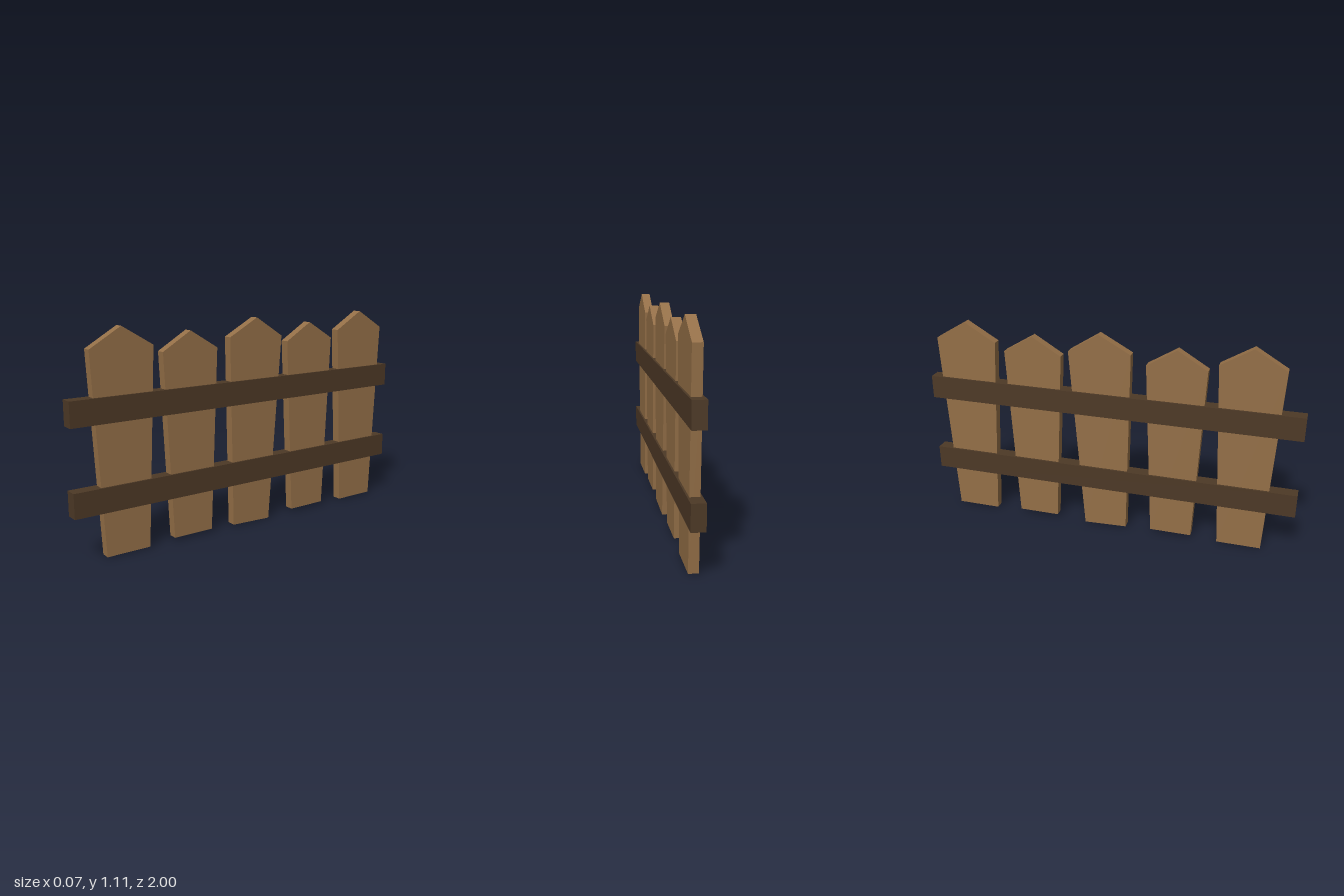
import * as THREE from 'three';

const plankWood = new THREE.MeshStandardMaterial({ color: 0x946f47, flatShading: true });
const railWood = new THREE.MeshStandardMaterial({ color: 0x4d3926, flatShading: true });

// Pointed board drawn as (z, y) corners, extruded through the thickness along x
function makePicket(name, corners) {
  const shape = new THREE.Shape(corners.map(([z, y]) => new THREE.Vector2(-z, y)));
  const geometry = new THREE.ExtrudeGeometry(shape, { depth: 0.048, bevelEnabled: false });
  geometry.rotateY(Math.PI / 2).translate(-0.025, 0, 0);
  const mesh = new THREE.Mesh(geometry, plankWood);
  mesh.name = name;
  return mesh;
}

function makeRail(name, bottom, top) {
  const mesh = new THREE.Mesh(new THREE.BoxGeometry(0.067, top - bottom, 2), railWood);
  mesh.position.set(-0.0015, (bottom + top) / 2, 0);
  mesh.name = name;
  return mesh;
}

export function createModel() {
  const fence = new THREE.Group();
  fence.name = 'picketFence';

  // Each picket: foot, shoulder, peak, shoulder, foot
  const pickets = [
    [[0.84, 0.005], [0.89, 1.007], [0.725, 1.105], [0.56, 1.007], [0.608, 0.005]],
    [[0.465, 0.018], [0.51, 0.968], [0.353, 1.062], [0.198, 0.968], [0.242, 0.018]],
    [[0.102, 0.009], [0.119, 1.013], [-0.05, 1.105], [-0.212, 1.002], [-0.131, 0]],
    [[-0.297, 0.018], [-0.252, 0.968], [-0.408, 1.062], [-0.565, 0.968], [-0.518, 0.018]],
    [[-0.664, 0.005], [-0.615, 1.007], [-0.782, 1.105], [-0.948, 1.007], [-0.898, 0.005]],
  ];
  pickets.forEach((corners, i) => fence.add(makePicket(`picket${i + 1}`, corners)));

  // Two horizontal rails that show on both sides of the pickets
  fence.add(makeRail('lowerRail', 0.23, 0.355), makeRail('upperRail', 0.66, 0.785));
  return fence;
}
